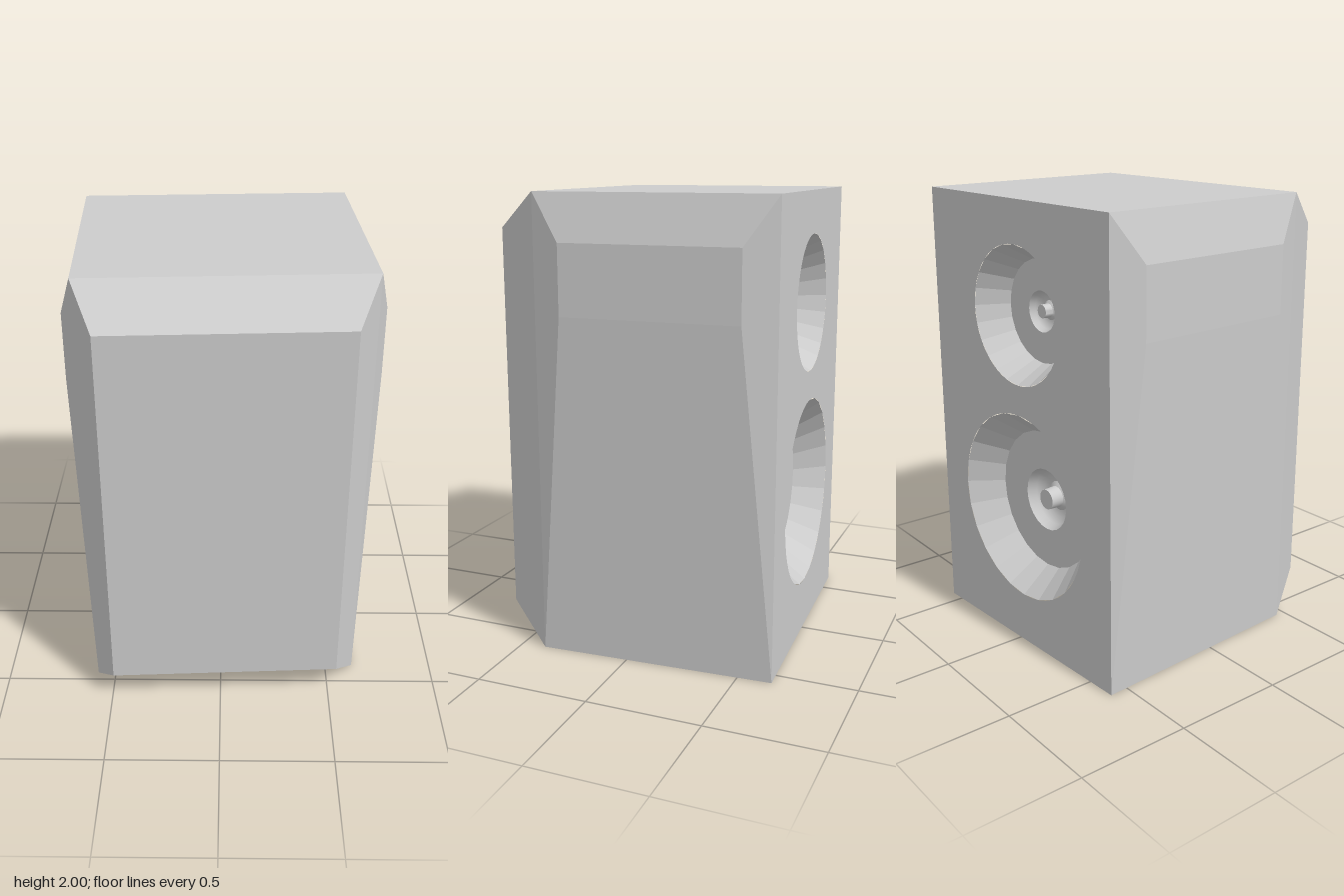
import * as THREE from 'three';
import { toCreasedNormals } from 'three/addons/utils/BufferGeometryUtils.js';

const HALF_W = 0.606, HEIGHT = 2, BACK = -0.618, FRONT = 0.423, SIDES = 24;

// Flat-shaded quads, each given as four counterclockwise corners
function quads(list) {
  const pos = [];
  for (const [a, b, c, d] of list) pos.push(...a, ...b, ...c, ...a, ...c, ...d);
  const g = new THREE.BufferGeometry();
  g.setAttribute('position', new THREE.Float32BufferAttribute(pos, 3));
  g.computeVertexNormals();
  return g;
}

// Bevelled panel: slopes from an outer ring to an inner ring, plus the inner face
function bevelPanel(outer, inner) {
  const faces = outer.map((p, i) => {
    const j = (i + 1) % 4;
    return [p, outer[j], inner[j], inner[i]];
  });
  return quads([...faces, inner]);
}

export function createModel() {
  const model = new THREE.Group();
  const speaker = new THREE.Group();
  speaker.name = 'speaker';
  speaker.rotation.y = 0.053;
  model.add(speaker);

  const grey = new THREE.MeshStandardMaterial({ color: 0xcccccc });
  grey.name = 'light grey';

  const add = (name, geometry, parent = speaker) => {
    const mesh = new THREE.Mesh(geometry, grey);
    mesh.name = name;
    parent.add(mesh);
    return mesh;
  };

  // Top and bottom of the cabinet
  const W = HALF_W, H = HEIGHT;
  add('cabinetTop', quads([[[-W, H, FRONT], [W, H, FRONT], [W, H, BACK], [-W, H, BACK]]]));
  add('cabinetBottom', quads([[[-W, 0, BACK], [W, 0, BACK], [W, 0, FRONT], [-W, 0, FRONT]]]));

  // Bevelled panel on the +z side
  add('frontPanel', bevelPanel(
    [[-W, 0, FRONT], [W, 0, FRONT], [W, H, FRONT], [-W, H, FRONT]],
    [[-0.519, 0.157, 0.618], [0.499, 0.157, 0.618], [0.499, 1.845, 0.618], [-0.519, 1.845, 0.618]],
  ));

  // Bulging side panels, mirrored
  for (const s of [1, -1]) {
    const X = 0.662;
    const outer = [[s * W, H, FRONT], [s * W, 0, FRONT], [s * W, 0, BACK], [s * W, H, BACK]];
    const inner = [[s * X, 1.8, 0.288], [s * X, 1.5, 0.288], [s * X, 1.5, -0.483], [s * X, 1.8, -0.483]];
    if (s < 0) { outer.reverse(); inner.reverse(); }
    add(s > 0 ? 'leftPanel' : 'rightPanel', bevelPanel(outer, inner));
  }

  const drivers = [
    { name: 'tweeter', y: 1.515, rim: 0.3, floor: 0.226, dish: 0.09 },
    { name: 'woofer', y: 0.655, rim: 0.425, floor: 0.318, dish: 0.143 },
  ];

  // Baffle with round openings
  const baffle = new THREE.Shape([[-W, 0], [W, 0], [W, H], [-W, H]].map(p => new THREE.Vector2(...p)));
  for (const d of drivers) {
    baffle.holes.push(new THREE.Path().absarc(0, d.y, d.rim, 0, Math.PI * 2, true));
  }
  add('baffle', new THREE.ShapeGeometry(baffle, SIDES).rotateY(Math.PI).translate(0, 0, BACK));

  // Recessed drivers, turned around an axis pointing out of the baffle
  const lathe = points =>
    new THREE.LatheGeometry(points.map(p => new THREE.Vector2(...p)), SIDES).rotateX(-Math.PI / 2);
  const DEPTH = 0.138;
  for (const d of drivers) {
    const driver = new THREE.Group();
    driver.name = d.name;
    driver.position.set(0, d.y, BACK);
    speaker.add(driver);

    const cone = lathe([[d.rim, 0], [d.floor, -DEPTH], [d.dish, -DEPTH]]).toNonIndexed();
    cone.computeVertexNormals();
    add('cone', cone, driver);

    // Rounded groove with a flat-topped hub
    const r = d.dish;
    const groove = lathe([
      [r, -DEPTH], [r * 0.88, -DEPTH - r * 0.28], [r * 0.68, -DEPTH - r * 0.46],
      [r * 0.48, -DEPTH - r * 0.5], [r * 0.34, -DEPTH - r * 0.4],
      [r * 0.32, -DEPTH], [0, -DEPTH],
    ]);
    add('dustCap', toCreasedNormals(groove, 0.7), driver);
  }

  return model;
}
